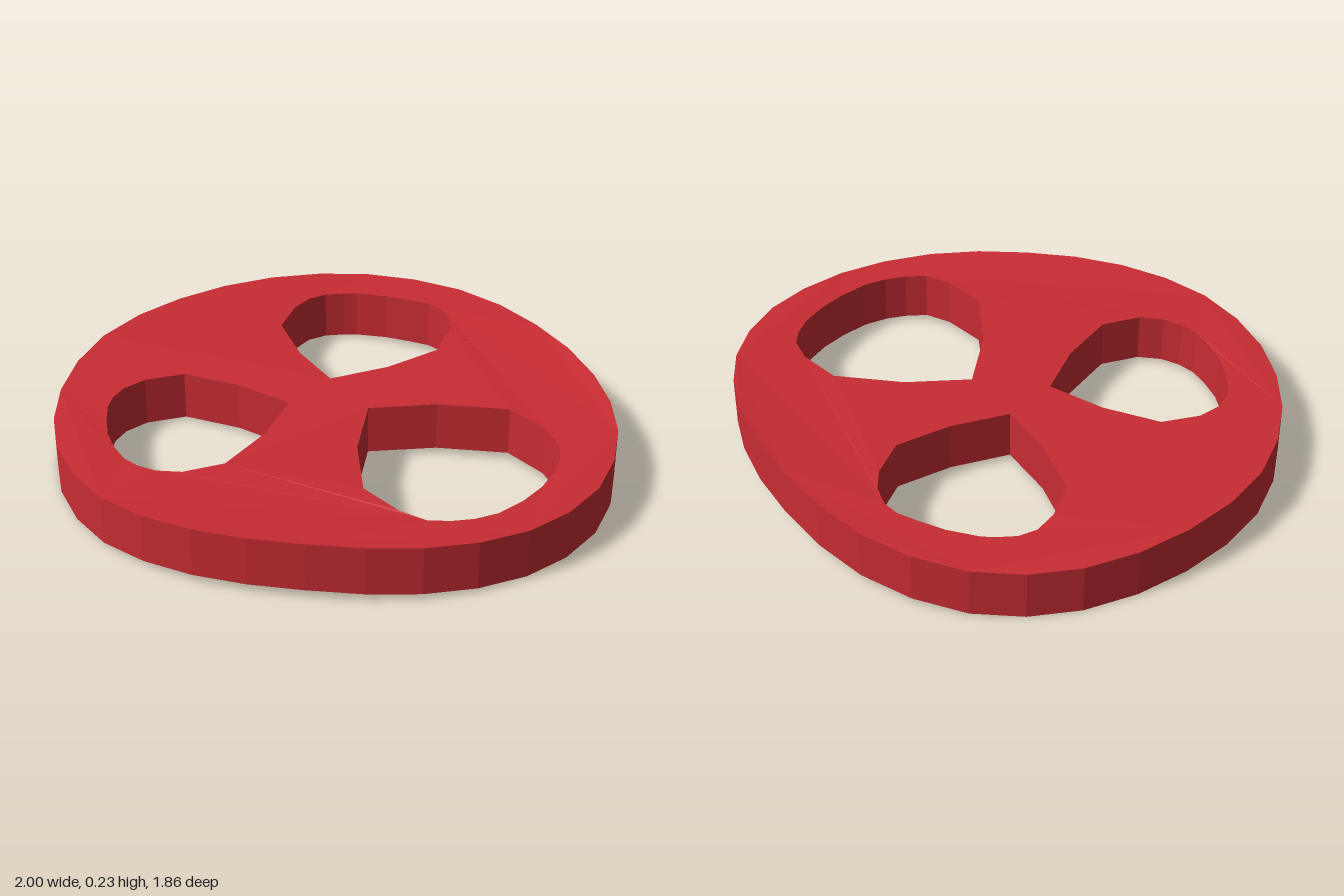
import * as THREE from 'three';

// Plan points are flat [x, z, x, z, ...] lists; the shape plane uses y = -z.
const toPoints = (list) => {
  const points = [];
  for (let i = 0; i < list.length; i += 2) points.push(new THREE.Vector2(list[i], -list[i + 1]));
  return points;
};

// Rounded-triangle rim, smoothed into 32 facets
const RIM = [
  0, -0.93, 0.38, -0.81, 0.69, -0.54, 0.91, -0.21,
  1, 0.12, 0.94, 0.46, 0.72, 0.73, 0.39, 0.885,
  0.01, 0.925, -0.37, 0.885, -0.7, 0.73, -0.92, 0.44,
  -1, 0.07, -0.93, -0.32, -0.7, -0.64, -0.37, -0.865,
];

// Three teardrop openings, each pointing at the centre
const HOLES = [
  [-0.04, -0.105, 0.16, -0.205, 0.33, -0.34, 0.365, -0.49, 0.355, -0.58, 0.32, -0.65,
    0.27, -0.69, 0.2, -0.715, 0.1, -0.745, -0.02, -0.76, -0.07, -0.755, -0.14, -0.74,
    -0.2, -0.7, -0.245, -0.62, -0.275, -0.475, -0.175, -0.275],
  [-0.165, 0.075, -0.22, 0.285, -0.325, 0.485, -0.46, 0.55, -0.55, 0.55, -0.62, 0.525,
    -0.675, 0.485, -0.72, 0.425, -0.765, 0.34, -0.79, 0.25, -0.805, 0.165, -0.8, 0.105,
    -0.775, 0.04, -0.71, -0.025, -0.575, -0.08, -0.365, -0.025],
  [0.12, 0.08, 0.36, 0.03, 0.62, 0.035, 0.75, 0.145, 0.8, 0.235, 0.805, 0.305,
    0.79, 0.385, 0.75, 0.48, 0.69, 0.57, 0.615, 0.65, 0.54, 0.695, 0.465, 0.72,
    0.385, 0.73, 0.29, 0.69, 0.16, 0.58, 0.11, 0.335],
];

const THICKNESS = 0.185;

// Underside height: three-lobed wave, a slight tilt and a twist
function warp(x, z) {
  const wave = 0.013 * (x * x + z * z) * Math.cos(3 * Math.atan2(x, z));
  return 0.018 + wave + 0.014 * x + 0.002 * z - 0.024 * x * z;
}

export function createModel() {
  const group = new THREE.Group();
  group.name = 'piercedDisc';

  // Counter-clockwise outline, so the walls of the openings face inwards
  const rimCurve = new THREE.CatmullRomCurve3(
    toPoints(RIM).reverse().map((p) => new THREE.Vector3(p.x, p.y, 0)), true);
  const rim = rimCurve.getPoints(32).slice(0, -1).map((p) => new THREE.Vector2(p.x, p.y));
  const shape = new THREE.Shape(rim);
  for (const hole of HOLES) {
    const points = toPoints(hole);
    if (!THREE.ShapeUtils.isClockWise(points)) points.reverse();
    shape.holes.push(new THREE.Path(points));
  }

  const geometry = new THREE.ExtrudeGeometry(shape, { depth: THICKNESS, bevelEnabled: false });
  geometry.rotateX(-Math.PI / 2);

  // Bend the flat plate
  const pos = geometry.attributes.position;
  for (let i = 0; i < pos.count; i++) {
    pos.setY(i, pos.getY(i) + warp(pos.getX(i), pos.getZ(i)));
  }
  geometry.computeVertexNormals();

  const plate = new THREE.Mesh(
    geometry, new THREE.MeshStandardMaterial({ color: 0xc82c33, flatShading: true }));
  plate.name = 'plate';
  group.add(plate);
  return group;
}
